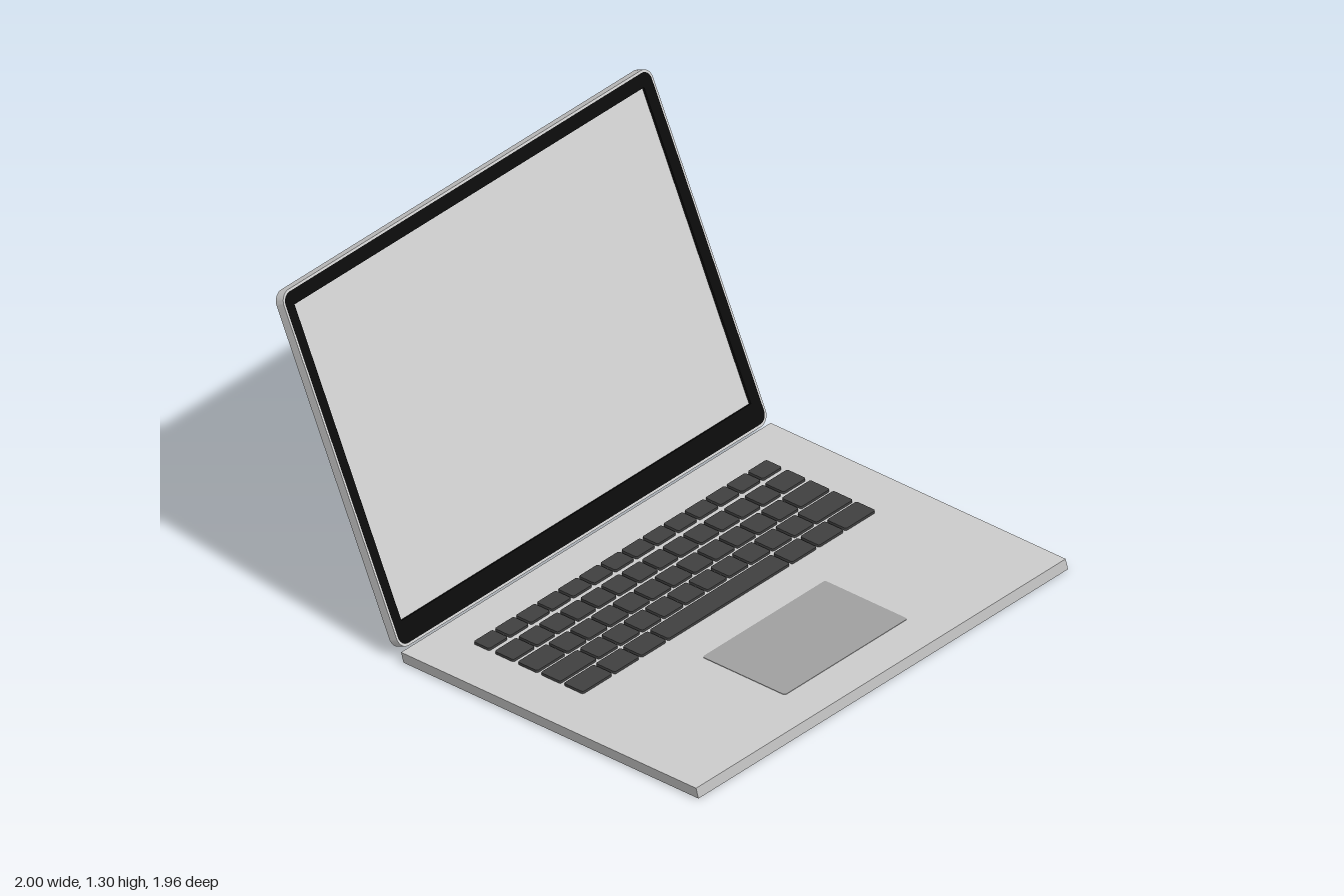
import * as THREE from 'three';
import { toCreasedNormals } from 'three/addons/utils/BufferGeometryUtils.js';

const grey = new THREE.MeshStandardMaterial({ color: 0xcccccc });
const black = new THREE.MeshStandardMaterial({ color: 0x0a0a0a });
const keyDark = new THREE.MeshStandardMaterial({ color: 0x404040 });
const padGrey = new THREE.MeshStandardMaterial({ color: 0xa0a0a0 });

// Rounded rectangle drawn onto a Shape or Path
function roundRect(path, [x0, x1, y0, y1], r) {
  path.moveTo(x0 + r, y0);
  path.lineTo(x1 - r, y0);
  path.absarc(x1 - r, y0 + r, r, -Math.PI / 2, 0);
  path.lineTo(x1, y1 - r);
  path.absarc(x1 - r, y1 - r, r, 0, Math.PI / 2);
  path.lineTo(x0 + r, y1);
  path.absarc(x0 + r, y1 - r, r, Math.PI / 2, Math.PI);
  path.lineTo(x0, y0 + r);
  path.absarc(x0 + r, y0 + r, r, Math.PI, Math.PI * 1.5);
  return path;
}

// Rounded slab extruded along +z, optionally with a window
function slab(rect, r, depth, segments, hole, holeR) {
  const shape = roundRect(new THREE.Shape(), rect, r);
  if (hole) shape.holes.push(roundRect(new THREE.Path(), hole, holeR));
  const geo = new THREE.ExtrudeGeometry(shape, { depth, bevelEnabled: false, curveSegments: segments });
  return toCreasedNormals(geo, 0.6);
}

function add(parent, name, geo, material) {
  const mesh = new THREE.Mesh(geo, material);
  mesh.name = name;
  parent.add(mesh);
  return mesh;
}

// Slab lying flat on the deck, between z0 (rear) and z1 (front)
function addFlat(parent, name, [x0, x1, z0, z1], r, y, height, material) {
  const geo = slab([x0, x1, -z1, -z0], r, height, 3).rotateX(-Math.PI / 2);
  return add(parent, name, geo, material).position.setY(y);
}

const DECK = 0.049;

function createBase() {
  const base = new THREE.Group();
  base.name = 'base';

  // Body, its sides leaning slightly
  const geo = new THREE.BoxGeometry(1.986, DECK, 1.366).translate(-0.007, DECK / 2, 0.299);
  const p = geo.attributes.position;
  for (let i = 0; i < p.count; i++) {
    if (p.getY(i) < 0.01) p.setX(i, p.getX(i) + 0.013);
  }
  geo.computeVertexNormals();
  add(base, 'baseBody', geo, grey);

  addFlat(base, 'trackpad', [-0.335, 0.325, 0.437, 0.82], 0.01, DECK - 0.004, 0.006, padGrey);
  base.add(createKeyboard());
  return base;
}

function createKeyboard() {
  const keyboard = new THREE.Group();
  keyboard.name = 'keyboard';
  const left = -0.792, right = 0.781, gap = 0.012;
  const repeat = (n, w) => Array(n).fill(w);

  // Each row: rear z, front z, relative key widths
  const rows = [
    [-0.228, -0.155, repeat(14, 1)],
    [-0.131, -0.043, [1.16, ...repeat(12, 1), 1.2]],
    [-0.024, 0.067, [1.45, ...repeat(11, 1), 1.46]],
    [0.083, 0.174, [1.78, ...repeat(10, 1), 1.78]],
    [0.19, 0.279, [1.19, 1, 1, 4.6, 1, 1, 1.19]],
  ];
  for (const [z0, z1, widths] of rows) {
    const unit = (right - left + gap) / widths.reduce((a, b) => a + b, 0);
    let x = left;
    for (const w of widths) {
      addFlat(keyboard, 'key', [x, x + w * unit - gap, z0, z1], 0.008, DECK - 0.004, 0.014, keyDark);
      x += w * unit;
    }
  }
  return keyboard;
}

function createLid() {
  // Local z = 0 is the front face, y runs up the panel
  const lid = new THREE.Group();
  lid.name = 'lid';
  const outer = [-0.996, 0.987, 0, 1.367];
  const inner = [-0.988, 0.979, 0.009, 1.358];
  const display = [-0.947, 0.931, 0.093, 1.307];
  const thickness = 0.037, recess = 0.012;

  add(lid, 'lidShell', slab(outer, 0.045, thickness - recess, 8), grey).position.z = -thickness;
  add(lid, 'lidRim', slab(outer, 0.045, recess, 8, inner, 0.038), grey).position.z = -recess;
  add(lid, 'bezel', slab(inner, 0.038, recess, 8, display, 0.001), black).position.z = -recess;

  // Display panel, set a little behind the bezel
  const [x0, x1, y0, y1] = display;
  const panel = add(lid, 'screen', new THREE.PlaneGeometry(x1 - x0, y1 - y0), grey);
  panel.position.set((x0 + x1) / 2, (y0 + y1) / 2, -recess + 0.002);

  lid.position.set(0, 0.052, -0.39);
  lid.rotation.x = -0.42;
  return lid;
}

export function createModel() {
  const model = new THREE.Group();
  model.name = 'laptop';
  model.add(createBase(), createLid());
  return model;
}
